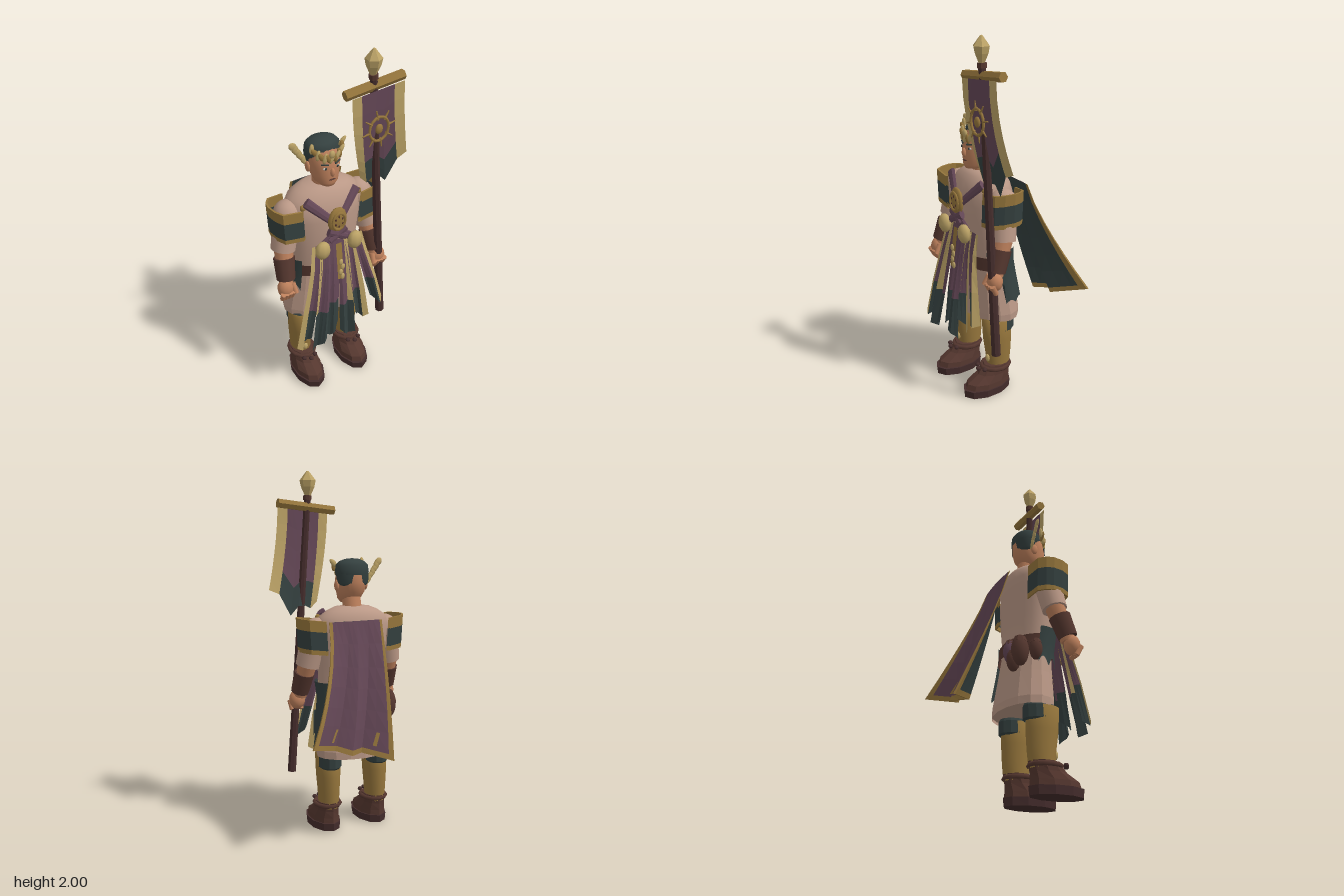
import * as THREE from 'three';
import { mergeVertices } from 'three/addons/utils/BufferGeometryUtils.js';

const V = (x, y, z) => new THREE.Vector3(x, y, z);
const CX = -0.058; // centre line of the figure

export function createModel() {
  const model = new THREE.Group();
  const mat = (name, color) => {
    const m = new THREE.MeshStandardMaterial({ color, side: THREE.DoubleSide });
    m.name = name;
    return m;
  };
  const linen = mat('linen', 0xba9886), skin = mat('skin', 0xbd805c), dark = mat('dark green', 0x34403f);
  const purple = mat('purple', 0x644756), gold = mat('gold', 0x96763c), cream = mat('pale gold', 0xbba266);
  const brown = mat('leather', 0x55372f), wood = mat('dark wood', 0x452d2c), white = mat('eye white', 0xc9bfb4);

  const add = (name, geo, material, p = V(0, 0, 0), s = V(1, 1, 1)) => {
    const m = new THREE.Mesh(geo, material);
    m.name = name;
    m.position.copy(p);
    m.scale.copy(s);
    model.add(m);
    return m;
  };
  const ball = (name, material, x, y, z, rx, ry, rz, n = 12) =>
    add(name, new THREE.SphereGeometry(1, n, Math.max(6, n * 0.7 | 0)), material, V(x, y, z), V(rx, ry, rz));
  const flat = g => { const f = g.toNonIndexed(); f.computeVertexNormals(); return f; };

  // tapered rod from a to b, optionally squashed front to back
  const rod = (name, material, a, b, ra, rb = ra, n = 12, squash = 1) => {
    const g = new THREE.CylinderGeometry(rb, ra, a.distanceTo(b), n);
    const m = add(name, n < 9 ? flat(g) : g, material, a.clone().add(b).multiplyScalar(0.5), V(1, 1, squash));
    m.quaternion.setFromUnitVectors(V(0, 1, 0), b.clone().sub(a).normalize());
    return m;
  };

  // grid surface; pick(i, j) chooses the material of each cell
  const sheet = (name, us, vs, f, pick, isFlat = false) => {
    const pos = [], cells = new Map(), w = us.length;
    vs.forEach(v => us.forEach(u => pos.push(...f(u, v))));
    for (let j = 0; j < vs.length - 1; j++) for (let i = 0; i < w - 1; i++) {
      const m = pick(i, j), a = j * w + i;
      if (!cells.has(m)) cells.set(m, []);
      cells.get(m).push(a, a + 1, a + w, a + 1, a + w + 1, a + w);
    }
    let g = new THREE.BufferGeometry();
    g.setAttribute('position', new THREE.Float32BufferAttribute(pos, 3));
    const mats = [...cells.keys()];
    g.setIndex(mats.flatMap(m => cells.get(m)));
    g = mergeVertices(g);
    let start = 0;
    mats.forEach((m, k) => { g.addGroup(start, cells.get(m).length, k); start += cells.get(m).length; });
    if (isFlat) g = g.toNonIndexed();
    g.computeVertexNormals();
    return add(name, g, mats.length > 1 ? mats : mats[0]);
  };
  const steps = (n, a = 0, b = 1) => Array.from({ length: n + 1 }, (_, i) => a + (b - a) * i / n);
  // piecewise linear table: rows of [t, ...values], rising t
  const table = (rows, t) => {
    let k = 0;
    while (k < rows.length - 2 && t > rows[k + 1][0]) k++;
    const q = THREE.MathUtils.clamp((t - rows[k][0]) / (rows[k + 1][0] - rows[k][0]), 0, 1);
    return rows[k].slice(1).map((v, i) => v + (rows[k + 1][i + 1] - v) * q);
  };
  // stacked ellipses: rows of [y, rx, rz, cz]
  const ring = (rows, cx, off = 0) => (a, y) => {
    const [rx, rz, cz] = table(rows, y);
    return [cx + Math.sin(a) * (rx + off), y, cz + Math.cos(a) * (rz + off)];
  };
  const loft = (name, material, rows, cx, n = 18, isFlat = false) =>
    sheet(name, steps(n, 0, Math.PI * 2), rows.map(r => r[0]), ring(rows, cx), () => material, isFlat);

  // tunic, skirt and belt
  const body = [[0.44, 0.225, 0.142, 0.06], [0.48, 0.228, 0.142, 0.06], [0.62, 0.207, 0.127, 0.07], [0.77, 0.19, 0.114, 0.082],
    [0.83, 0.198, 0.12, 0.09], [0.95, 0.2, 0.126, 0.098], [1.1, 0.216, 0.132, 0.097], [1.17, 0.22, 0.128, 0.09],
    [1.22, 0.195, 0.113, 0.085], [1.25, 0.15, 0.092, 0.085], [1.268, 0.105, 0.072, 0.087], [1.275, 0.045, 0.04, 0.09]];
  loft('tunic', linen, body.slice(3), CX, 24);
  loft('skirt', linen, body.slice(0, 4), CX, 16, true);
  loft('skirtUnderside', linen, [[0.455, 0.224, 0.14, 0.06], [0.456, 0, 0, 0.06]], CX, 16, true);
  const wrap = (name, material, a0, a1, vs, off, lift = () => 0) => sheet(name, steps(20, a0, a1), vs,
    (a, y) => {
      const p = ring(body, CX, off)(a, y);
      if (y === vs[0]) p[1] += lift(a);
      return p;
    }, () => material);
  wrap('belt', brown, 0, Math.PI * 2, [0.74, 0.75, 0.81, 0.82], 0.014);
  wrap('leftHipCloth', dark, 0.9, 2.3, [0.55, 0.69, 0.77, 0.86], 0.022, a => (a < 1.35 ? 0.115 : 0) + 0.025 * Math.abs(Math.sin(a * 7)));
  wrap('rightHipCloth', dark, -1.75, -0.9, [0.64, 0.74, 0.86], 0.02, a => 0.05 * Math.abs(Math.sin(a * 7)));

  // legs and boots
  for (const s of [-1, 1]) {
    const x = CX + s * 0.148;
    loft('trouser', dark, [[0.365, 0.06, 0.08, 0.085], [0.375, 0.066, 0.088, 0.082], [0.44, 0.066, 0.086, 0.08], [0.46, 0.055, 0.075, 0.08]], x, 12, true);
    loft('legging', gold, [[0.13, 0.056, 0.066, 0.09], [0.22, 0.06, 0.075, 0.09], [0.32, 0.066, 0.085, 0.095], [0.44, 0.069, 0.088, 0.099], [0.45, 0.03, 0.04, 0.095]], x, 14);
    loft('sole', wood, [[0, 0, 0, 0.168], [0.001, 0.083, 0.147, 0.168], [0.045, 0.087, 0.152, 0.168], [0.046, 0.06, 0.12, 0.168]], x, 10, true);
    loft('boot', brown, [[0.04, 0.08, 0.142, 0.165], [0.075, 0.078, 0.135, 0.16], [0.115, 0.068, 0.1, 0.125], [0.165, 0.066, 0.082, 0.1], [0.168, 0.03, 0.04, 0.1]], x, 10, true);
    const strap = add('ankleStrap', new THREE.TorusGeometry(0.07, 0.013, 6, 12), brown, V(x, 0.148, 0.108), V(1, 1.15, 1));
    strap.rotation.x = Math.PI / 2;
    for (const t of [-1, 0, 1]) ball('strapBead', wood, x + t * 0.035, 0.155, 0.225 - 0.02 * t * t, 0.014, 0.012, 0.014, 8);
    ball('leggingStud', cream, x + s * 0.005, 0.205, 0.164, 0.016, 0.024, 0.012, 8);
  }

  // arms, shoulder guards and hands
  for (const s of [-1, 1]) {
    const P = (x, y, z) => V(CX + s * x, y, z);
    ball('shoulder', linen, CX + s * 0.21, 1.135, 0.1, 0.076, 0.08, 0.076, 16);
    rod('sleeve', linen, P(0.255, 0.945, 0.128), P(0.215, 1.14, 0.1), 0.066, 0.074, 16);
    rod('forearm', skin, P(0.275, 0.77, 0.19), P(0.253, 0.97, 0.125), 0.038, 0.054);
    rod('bracer', brown, P(0.275, 0.79, 0.19), P(0.263, 0.905, 0.15), 0.05, 0.058, 10);
    ball('hand', skin, CX + s * 0.286, 0.745, 0.205, 0.046, 0.055, 0.042);
    for (let i = 0; i < 4; i++)
      rod('finger', skin, P(0.256 + i * 0.02, 0.735, 0.24), P(0.258 + i * 0.018, 0.685, 0.215), 0.015, 0.014, 9);
    rod('thumb', skin, P(0.25, 0.77, 0.215), P(0.243, 0.72, 0.245), 0.016, 0.013, 9);

    const path = [[0, 0.2, 0.005], [0.25, 0.285, 0.022], [0.4, 0.312, 0.06], [0.5, 0.32, 0.1], [0.65, 0.31, 0.155], [0.75, 0.285, 0.2], [1, 0.18, 0.207]];
    const guard = inset => (u, v) => {
      const [x, z] = table(path, u);
      return [CX + s * (x - inset - (1.21 - v) * 0.06), v + (x - 0.28) * 0.12, z + (0.1 - z) * inset * 8];
    };
    for (const inset of [0, 0.01])
      sheet('shoulderGuard', path.map(p => p[0]), [1.025, 1.05, 1.15, 1.21], guard(inset), (i, j) => j === 1 ? dark : gold, true);
    for (const y of [1.025, 1.21])
      sheet('guardRim', path.map(p => p[0]), [0, 0.01], (u, v) => guard(v)(u, y), () => gold, true);
  }

  // neck, head and face
  rod('neck', skin, V(CX, 1.24, 0.085), V(CX, 1.34, 0.1), 0.056, 0.05, 14);
  loft('head', skin, [[1.283, 0.012, 0.015, 0.15], [1.288, 0.04, 0.04, 0.147], [1.31, 0.063, 0.068, 0.128], [1.35, 0.077, 0.086, 0.11],
    [1.4, 0.084, 0.092, 0.105], [1.45, 0.086, 0.086, 0.1], [1.49, 0.075, 0.07, 0.095]], CX, 24);
  loft('hair', dark, [[1.435, 0.09, 0.074, 0.09], [1.455, 0.097, 0.079, 0.09], [1.495, 0.093, 0.076, 0.09], [1.515, 0.074, 0.06, 0.09], [1.528, 0.04, 0.03, 0.09], [1.532, 0, 0, 0.09]], CX, 18);
  loft('backHair', dark, [[1.385, 0.075, 0.05, 0.075], [1.4, 0.09, 0.06, 0.077], [1.46, 0.096, 0.072, 0.085]], CX, 16);
  for (const s of [-1, 1]) {
    const x = CX + s * 0.034;
    ball('ear', skin, CX + s * 0.088, 1.385, 0.1, 0.012, 0.03, 0.02, 10);
    ball('eyeWhite', white, x, 1.4, 0.186, 0.016, 0.007, 0.006, 8);
    ball('iris', dark, x, 1.4, 0.191, 0.007, 0.007, 0.004, 8);
    rod('brow', dark, V(CX + s * 0.018, 1.42, 0.194), V(CX + s * 0.055, 1.424, 0.177), 0.005, 0.004, 6);
  }
  ball('nose', skin, CX, 1.375, 0.198, 0.013, 0.025, 0.014, 10);
  ball('mouth', brown, CX, 1.333, 0.196, 0.02, 0.004, 0.006, 8);

  // leaf crown and side plume
  for (let i = -6; i <= 6; i++) {
    const a = i * 0.17, k = Math.abs(i) / 6;
    const leaf = ball('crownLeaf', i % 2 ? gold : cream, CX + Math.sin(a) * 0.103, 1.45 + k * k * 0.055, 0.09 + Math.cos(a) * 0.1, 0.014, 0.03, 0.01, 6);
    leaf.rotation.z = -i * 0.06 + (i % 2 ? 0.4 : -0.4);
  }
  ball('crownGem', cream, CX, 1.475, 0.192, 0.018, 0.022, 0.012, 6);
  for (let i = 0; i < 7; i++) {
    const leaf = ball('plumeLeaf', cream, -0.15 - i * 0.0115, 1.405 + i * 0.0175, 0.083, 0.014 + i * 0.001, 0.026, 0.008, 6);
    leaf.rotation.z = i % 2 ? 0.25 : 0.75;
  }

  // chest straps, medallion and bow
  for (const s of [-1, 1]) {
    const P = (x, y, z) => V(CX + s * x, y, z);
    rod('chestStrap', purple, P(0.03, 1.115, 0.24), P(0.15, 1.235, 0.188), 0.022, 0.028, 8, 0.5);
    rod('bowTail', purple, P(-0.05, 1.0, 0.262), P(0.05, 1.055, 0.25), 0.018, 0.026, 8, 0.6);
    rod('bowBand', purple, P(0.02, 1.03, 0.25), P(0.09, 0.98, 0.245), 0.022, 0.018, 8, 0.6);
    ball('shellOrnament', cream, CX + s * 0.097, 0.965, 0.27, 0.044, 0.054, 0.032, 8);
    ball('strapStud', gold, CX + s * 0.165, 1.205, 0.185, 0.016, 0.018, 0.014, 8);
  }
  ball('medallion', gold, CX, 1.115, 0.25, 0.056, 0.078, 0.022, 10);
  add('medallionRing', new THREE.TorusGeometry(0.037, 0.007, 6, 12), gold, V(CX, 1.115, 0.268), V(1, 1.35, 1));
  for (let i = 0; i < 6; i++) {
    const a = i * Math.PI / 3;
    ball('medallionDot', brown, CX + Math.sin(a) * 0.022, 1.115 + Math.cos(a) * 0.03, 0.268, 0.006, 0.008, 0.005, 6);
  }

  // hanging tabard strips: top x, bottom x, top width, bottom width, bottom y, bottom z, edged side
  [[-0.165, -0.292, 0.06, 0.085, 0.41, 0.3, -1], [-0.12, -0.205, 0.06, 0.095, 0.37, 0.31, -1], [-0.07, -0.11, 0.06, 0.1, 0.43, 0.295, -1],
    [-0.015, -0.02, 0.06, 0.095, 0.39, 0.315, 1], [0.03, 0.075, 0.06, 0.09, 0.47, 0.3, 1], [0.08, 0.175, 0.055, 0.085, 0.55, 0.31, 1]].forEach(([x0, x1, w0, w1, yb, zb, side], k) => {
    const cols = [0, 0.34, 0.48, 0.62, 0.8, 1];
    sheet('tabardStrip', side < 0 ? cols : cols.map(u => 1 - u), [0, 0.25, 0.5, 0.7, 1], (u, v) => [
      x0 + (x1 - x0) * v ** 1.3 + (u - 0.5) * (w0 + (w1 - w0) * v),
      0.97 + (yb - 0.97) * v - (v === 1 ? 0.07 * (1 - Math.abs(u - (0.5 + side * 0.25)) * 1.4) : 0),
      0.228 + (zb - 0.228) * v ** 0.75 + 0.02 * v * Math.sin(u * 7 + k * 2)],
    (i, j) => i === 0 && k !== 2 && (k === 0 || k > 3 || j < 3) ? cream : j === 3 ? dark : purple, true);
  });
  sheet('tabardCentre', [0, 1], [0, 0.5, 1], (u, v) => [-0.055 + (u - 0.5) * 0.035, 0.97 - 0.22 * v, 0.262 + 0.03 * v], () => gold);
  for (let i = 0; i < 4; i++) ball('tabardCharm', cream, -0.055 + (i % 2) * 0.012, 0.86 - i * 0.034, 0.288, 0.014, 0.02, 0.008, 6);

  // belt pouches
  [[-0.225, 0.725, -0.03, brown, 0.046, 0.085], [-0.15, 0.74, -0.045, purple, 0.042, 0.07], [-0.185, 0.68, -0.05, brown, 0.036, 0.06], [-0.265, 0.73, 0.04, brown, 0.035, 0.06]].forEach(([x, y, z, m, r, h]) => {
    ball('pouch', m, x, y, z, r, h, r, 10);
    rod('pouchLid', brown, V(x, y + h * 0.5, z), V(x, y + h * 0.85, z), r * 0.9, r * 0.6, 8);
  });

  // cape with lining, gold border and worn gold patches
  const hem = [[0, -0.095, 0.49, -0.335], [0.28, 0.035, 0.52, -0.21], [0.5, 0.12, 0.53, -0.275], [0.66, 0.19, 0.55, -0.21], [1, 0.365, 0.605, -0.33]];
  const capeU = [0, 0.045, 0.17, 0.28, 0.39, 0.5, 0.58, 0.66, 0.77, 0.88, 0.94, 1];
  const cape = off => (u, v) => {
    const [x, y, z] = table(hem, u), xt = -0.165 + 0.315 * u, zt = -0.06 - 0.008 * Math.sin(u * Math.PI);
    return [xt + (x - xt) * v ** 1.75, 1.205 + (y - 1.205) * v, zt + (z - zt) * v ** 1.1 + off * (0.2 + 0.8 * v)];
  };
  const edged = inner => (i, j) => i === 0 || i === capeU.length - 2 || j === 6 ? gold : inner;
  const capeV = [0, 0.18, 0.36, 0.52, 0.68, 0.82, 0.962, 1];
  sheet('cape', capeU, capeV, cape(0), edged(purple), true);
  sheet('capeLining', capeU, capeV, cape(0.012), edged(dark), true);
  sheet('capeHem', capeU, [0, 0.012], (u, o) => cape(o)(u, 1), () => gold, true);
  for (const e of [0, 1]) sheet('capeEdge', [0, 0.012], capeV, (o, v) => cape(o)(e, v), () => gold, true);
  for (const [u, v] of [[0.13, 0.83], [0.69, 0.84]])
    sheet('capePatch', [u, u + 0.035], [v, v + 0.1], (a, b) => cape(-0.007)(a + (b - v) * 0.3, b), () => gold, true);

  // standard: staff, crossbar and finial
  rod('staff', wood, V(0.26, 0.325, 0.22), V(0.147, 1.87, 0.22), 0.025, 0.019, 8);
  rod('crossbar', gold, V(-0.008, 1.79, 0.218), V(0.322, 1.827, 0.218), 0.026, 0.026, 6);
  loft('finial', cream, [[1.868, 0.016, 0.016, 0.22], [1.915, 0.037, 0.037, 0.22], [1.95, 0.044, 0.044, 0.22], [1.998, 0.007, 0.007, 0.22], [2, 0, 0, 0.22]], 0.145, 6, true);
  rod('finialCollar', brown, V(0.149, 1.845, 0.22), V(0.147, 1.87, 0.22), 0.024, 0.024, 8);

  // banner cloth
  const foot = [[0, 0.105, 1.29], [0.2, 0.145, 1.25], [0.4, 0.2, 1.29], [0.6, 0.265, 1.22], [0.8, 0.325, 1.34], [1, 0.385, 1.365]];
  sheet('banner', [0, 0.18, 0.3, 0.45, 0.6, 0.7, 0.8, 1], [0, 0.2, 0.4, 0.58, 0.74, 0.88, 1], (u, v) => {
    const [x, y] = table(foot, u), xt = 0.015 + 0.295 * u, yt = 1.78 + 0.03 * u;
    return [xt + (x - xt) * v ** 1.7, yt + (y - yt) * v, 0.25 - 0.05 * v * v + 0.008 * Math.sin(u * 9) * v];
  }, (i, j) => i === 0 || i === 6 ? cream : j > 3 ? dark : purple, true);

  // sunburst emblem on the banner
  const centre = V(0.165, 1.59, 0.262);
  add('emblemRing', new THREE.TorusGeometry(0.055, 0.007, 6, 16), gold, centre, V(1, 1.2, 1));
  ball('emblemBoss', gold, centre.x, centre.y, centre.z, 0.022, 0.028, 0.012, 8);
  for (let i = 0; i < 8; i++) {
    const a = i * Math.PI / 4 + 0.2, d = V(Math.cos(a), Math.sin(a) * 1.1, 0);
    rod('emblemRay', gold, centre.clone().addScaledVector(d, 0.05), centre.clone().addScaledVector(d, 0.095), 0.007, 0.003, 6);
  }
  return model;
}
